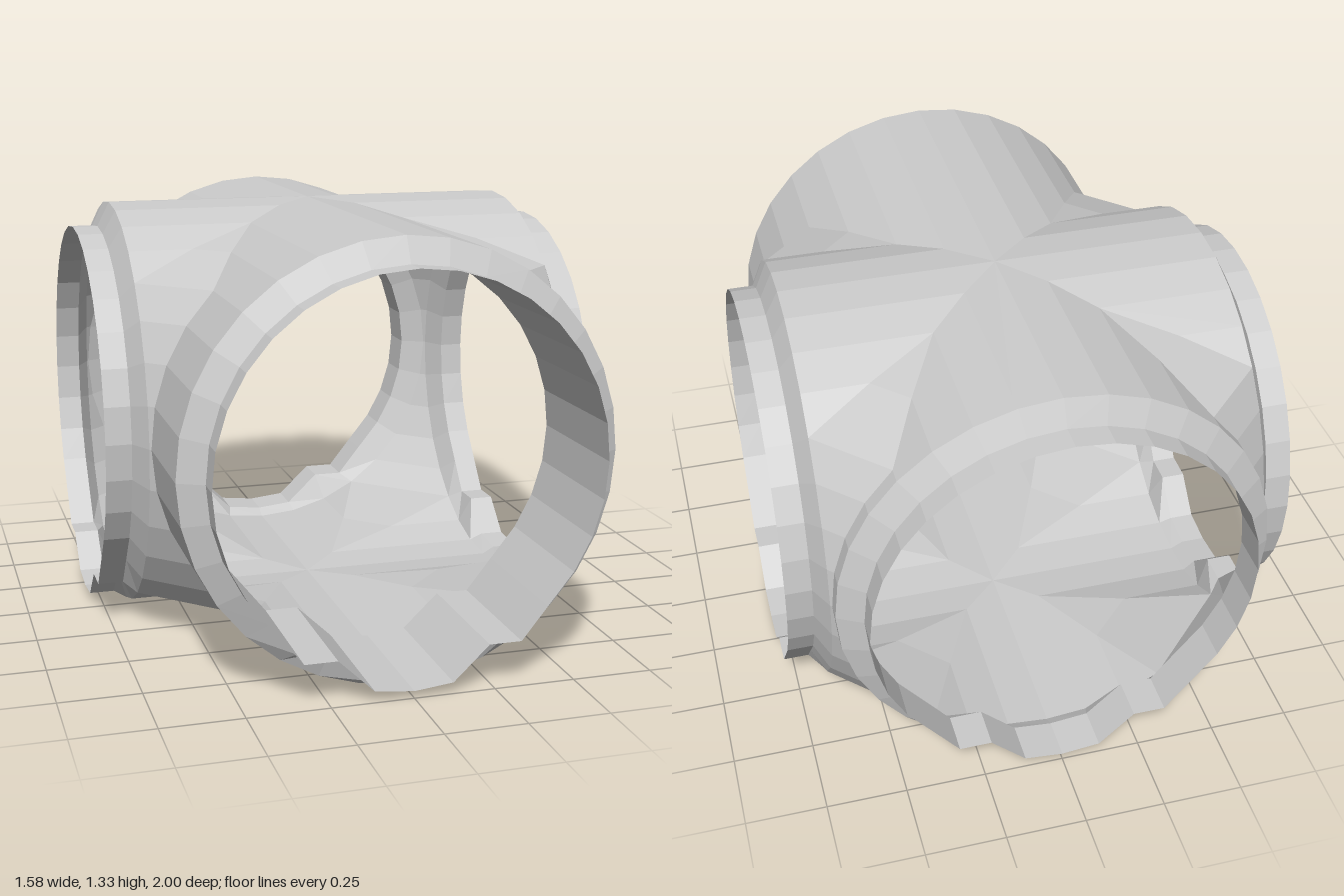
import * as THREE from 'three';

const R = 0.665, INNER = 0.588, SIDES = 32, REACH = 0.67, CHAMFER = 0.04, LIP = 0.08, CROSS_Z = -0.16;
const material = new THREE.MeshStandardMaterial({ color: 0xcccccc, flatShading: true, side: THREE.DoubleSide });

// Outlines start at the bottom and run counter-clockwise, as [across, up]
function circle(r) {
  return Array.from({ length: SIDES }, (_, i) => {
    const a = (i / SIDES) * Math.PI * 2;
    return [r * Math.sin(a), R - r * Math.cos(a)];
  });
}

const outer = circle(R);
const inner = circle(INNER);
// Stepped threshold at the foot of each opening
[[0, 0.022], [0.12, 0.035], [0.23, 0.14], [0.33, 0.14], [0.41, 0.24]].forEach(([u, y], i) => {
  inner[i] = [u, y];
  if (i) inner[SIDES - i] = [-u, y];
});

// Where each side of an arm begins: mitred along the ridges, cut back at the corner webs
const crossing = outer.map(([u, y], i) => {
  const k = Math.min(i, SIDES - i);
  if (k < 2 || k > 13) return [u, y, Math.abs(u)];
  return [u, y, k === 2 ? 0.4 : k === 13 ? 0.47 : REACH];
});

const at = (outline, z) => outline.map(([u, y]) => [u, y, z]);

function meshFrom(name, triangles) {
  const geometry = new THREE.BufferGeometry();
  geometry.setAttribute('position', new THREE.Float32BufferAttribute(triangles.flat(2), 3));
  geometry.computeVertexNormals();
  const mesh = new THREE.Mesh(geometry, material);
  mesh.name = name;
  return mesh;
}

// Joins rows of points (each a closed loop) with quads
function loft(name, rows, inward = false) {
  const triangles = [];
  for (let k = 0; k < rows.length - 1; k++) {
    for (let i = 0; i < SIDES; i++) {
      const j = (i + 1) % SIDES;
      const a = rows[k][i], b = rows[k][j], c = rows[k + 1][j], d = rows[k + 1][i];
      if (inward) triangles.push([a, c, b], [a, d, c]);
      else triangles.push([a, b, c], [a, c, d]);
    }
  }
  return meshFrom(name, triangles);
}

// One tunnel arm, from the crossing to the thin end lip
function arm(name, shoulder) {
  const group = new THREE.Group();
  group.name = name;
  const shell = [crossing, at(outer, REACH)];
  const lining = [at(inner, REACH + CHAMFER), at(inner, shoulder + CHAMFER + LIP)];
  if (shoulder > REACH) {
    // Longer arms carry a lining that starts with its own inside chamfer
    shell.push(at(outer, shoulder));
    lining.unshift(at(outer, REACH));
  }
  shell.push(at(inner, shoulder + CHAMFER));
  group.add(loft('outerShell', shell), loft('liningAndLip', lining, true));
  return group;
}

// Diagonal web bridging two neighbouring arms
function cornerWeb() {
  const triangles = [];
  const side = ([u, y, d]) => [d, y, u];
  for (let i = 1; i < 14; i++) {
    const a = crossing[i], d = crossing[i + 1];
    triangles.push([a, side(a), side(d)], [a, side(d), d]);
  }
  return meshFrom('cornerWeb', triangles);
}

export function createModel() {
  const model = new THREE.Group();
  model.name = 'tunnelCrossing';

  const arms = [['frontArm', 1.04], ['leftArm', REACH], ['backArm', 0.72], ['rightArm', REACH]];
  arms.forEach(([name, shoulder], k) => {
    const part = arm(name, shoulder);
    const web = cornerWeb();
    part.rotation.y = web.rotation.y = (k * Math.PI) / 2;
    part.position.z = web.position.z = CROSS_Z;
    model.add(part, web);
  });
  return model;
}
